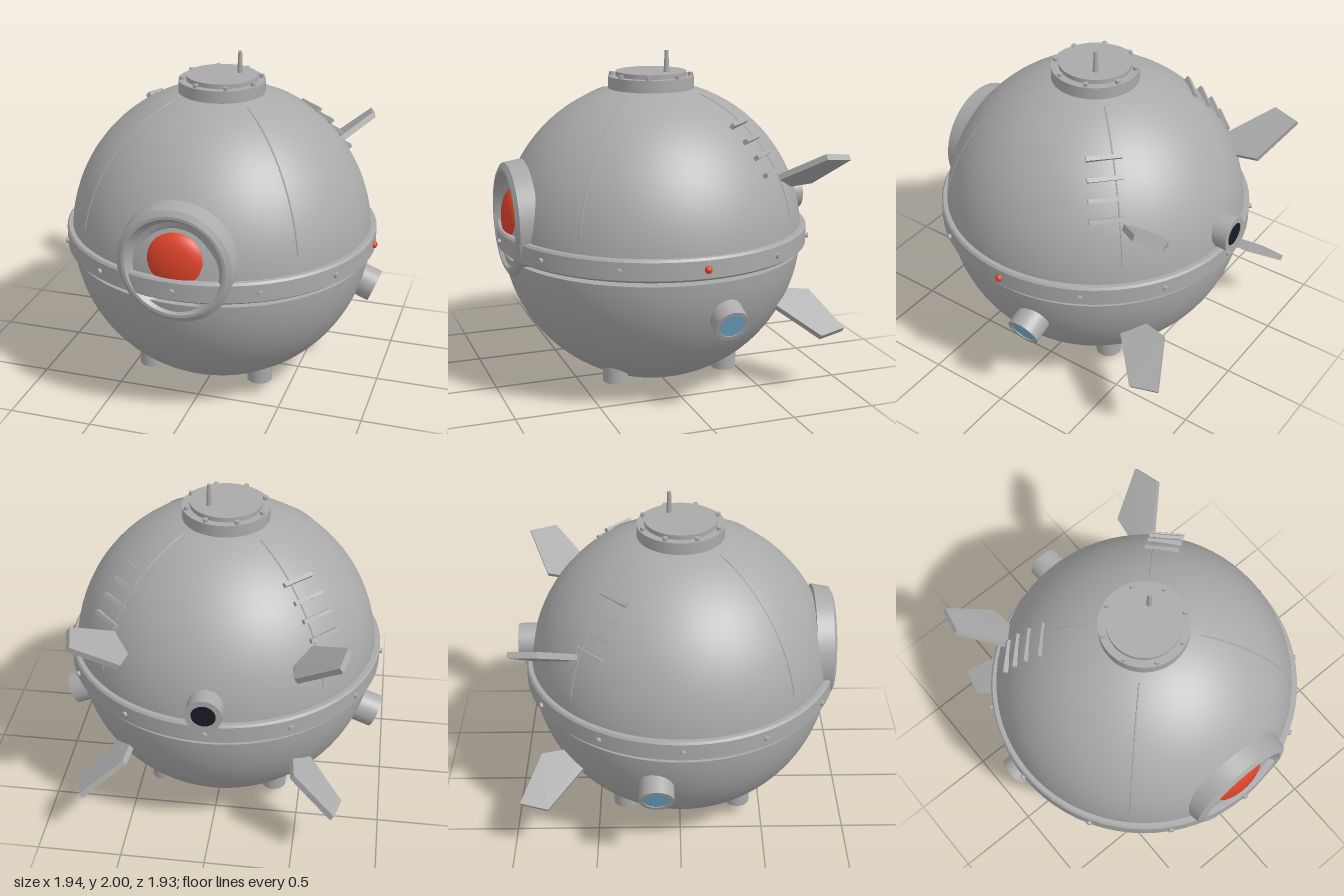
import * as THREE from 'three';
import { toCreasedNormals } from 'three/addons/utils/BufferGeometryUtils.js';
import { ConvexGeometry } from 'three/addons/geometries/ConvexGeometry.js';

const R = 0.905; // hull radius
const mat = (name, color) => Object.assign(new THREE.MeshStandardMaterial({ color }), { name });
const V = (x, y, z) => new THREE.Vector3(x, y, z);
const UP = V(0, 1, 0);

export function createModel() {
  const metal = mat('hull grey', 0xaaaaaa);
  const red = mat('signal red', 0xe0442a);
  const blue = mat('porthole blue', 0x78b0d0);
  const dark = mat('dark glass', 0x1a1a26);

  const root = new THREE.Group();
  root.name = 'submersible';
  const body = new THREE.Group();
  body.name = 'body';
  body.position.set(0, R, 0.01);
  root.add(body);

  const add = (name, geo, material = metal, parent = body) => {
    const m = new THREE.Mesh(geo, material);
    m.name = name;
    parent.add(m);
    return m;
  };
  // Turned part: profile runs counter-clockwise as [radius, height]
  const turned = (pts, seg = 48) =>
    toCreasedNormals(new THREE.LatheGeometry(pts.map(p => new THREE.Vector2(...p)), seg), 0.45);
  // Points along the hull outline between two heights
  const hullArc = (y0, y1) => {
    const a0 = Math.asin(y0 / R), a1 = Math.asin(y1 / R), pts = [];
    for (let i = 0; i <= 24; i++) {
      const a = a0 + (a1 - a0) * i / 24;
      pts.push([Math.max(0, R * Math.cos(a)), R * Math.sin(a)]);
    }
    return pts;
  };

  // Two hull halves with a narrow gap below the belt
  add('upperHull', turned([[0, -0.06], ...hullArc(-0.06, R)], 72));
  add('lowerHull', turned([...hullArc(-R, -0.09), [0, -0.09]], 72));

  // Belt with rivets, one of them a red lamp
  add('belt', turned([[0.89, -0.062], [0.915, -0.062], [0.937, -0.046], [0.937, 0.057],
    [0.927, 0.07], [0.89, 0.07]], 72));
  for (let i = 0; i < 12; i++) {
    const a = i * Math.PI / 6, dir = V(Math.cos(a), 0, Math.sin(a));
    const lamp = i === 0;
    const m = lamp
      ? add('beltLamp', new THREE.SphereGeometry(0.022, 16, 12), red)
      : add('beltRivet', new THREE.CylinderGeometry(0.015, 0.018, 0.03, 12));
    m.position.copy(dir).multiplyScalar(0.938).setY(0.005);
    m.quaternion.setFromUnitVectors(UP, dir);
  }

  // Hatch, its rivets and the antenna
  add('hatchBase', turned([[0, 0.84], [0.255, 0.84], [0.255, 0.94], [0, 0.94]]));
  add('hatchLid', turned([[0, 0.93], [0.21, 0.93], [0.21, 0.967], [0, 0.967]]));
  for (let i = 0; i < 8; i++) {
    const a = (i + 0.5) * Math.PI / 4;
    add('hatchRivet', new THREE.CylinderGeometry(0.015, 0.015, 0.03, 12))
      .position.set(0.234 * Math.cos(a), 0.945, 0.234 * Math.sin(a));
  }
  add('antenna', new THREE.CylinderGeometry(0.011, 0.018, 0.15, 16)).position.set(0.09, 1.02, -0.065);

  // Front eye: bevelled ring, inner rim and red lens
  const eye = new THREE.Group();
  eye.name = 'eye';
  eye.position.set(0, 0.135, 0);
  body.add(eye);
  add('eyeRing', turned([[0.2, 0.79], [0.35, 0.79], [0.333, 0.893], [0.302, 0.911], [0.285, 0.911],
    [0.25, 0.86], [0.215, 0.85], [0.2, 0.83], [0.2, 0.79]], 64).rotateX(Math.PI / 2), metal, eye);
  const lens = add('eyeLens', new THREE.SphereGeometry(0.185, 40, 24).rotateX(Math.PI / 2), red, eye);
  lens.scale.z = 0.46;
  lens.position.z = 0.835;

  // Short tubes with recessed glass; end is the centre of the open face
  const port = (name, r, len, glassR, glass, end, dir) => {
    const g = new THREE.Group();
    g.name = name;
    g.position.copy(end);
    g.quaternion.setFromUnitVectors(UP, dir.normalize());
    body.add(g);
    add(name + 'Tube', turned([[0, -len], [r, -len], [r, 0], [glassR, 0], [glassR, -0.012], [0, -0.012]], 36), metal, g);
    add(name + 'Glass', new THREE.CylinderGeometry(glassR, glassR, 0.006, 36), glass, g).position.y = -0.008;
  };
  for (const s of [-1, 1]) {
    port('sidePort', 0.1, 0.25, 0.075, blue, V(s * 0.932, -0.34, -0.15), V(s * 0.925, -0.38, 0));
    for (const t of [-1, 1])
      port('bottomPort', 0.075, 0.2, 0.056, blue, V(s * 0.344, -0.81, t * 0.344), V(0, -1, 0));
  }
  port('rearPort', 0.104, 0.2, 0.07, dark, V(0, 0.158, -0.973), V(0, 0, -1));

  // Four swept fins, mirrored left/right and up/down
  const outline = [[0.565, 0.395, -0.585], [0.765, 0.54, -0.785], [0.73, 0.52, -0.95],
    [0.486, 0.34, -0.83], [0.486, 0.342, -0.63], [0.45, 0.31, -0.55]];
  const n = V(-0.6, 0.8, 0.02).normalize().multiplyScalar(0.018);
  for (const sx of [-1, 1]) for (const sy of [-1, 1]) {
    const pts = [];
    for (const p of outline) for (const k of [-1, 1])
      pts.push(V(...p).addScaledVector(n, k).multiply(V(sx, sy, 1)));
    add(sy > 0 ? 'upperFin' : 'lowerFin', new ConvexGeometry(pts));
  }

  // Raised seams on the upper hull
  for (let i = 0; i < 4; i++) {
    const az = Math.PI / 4 + i * Math.PI / 2, pts = [];
    for (let j = 0; j <= 16; j++) {
      const el = 0.185 + (1.22 - 0.185) * j / 16;
      pts.push(V(Math.cos(el) * Math.cos(az), Math.sin(el), Math.cos(el) * Math.sin(az)).multiplyScalar(R));
    }
    add('seam', new THREE.TubeGeometry(new THREE.CatmullRomCurve3(pts), 40, 0.005, 6));
  }

  // Ladder rungs on both rear quarters
  for (const s of [-1, 1]) for (const y of [0.695, 0.615, 0.53, 0.435]) {
    const h = Math.sqrt(R * R - y * y), az = 0.697;
    const along = V(s, 0, 1).normalize();
    const out = V(s * h * Math.SQRT1_2, y, -h * Math.SQRT1_2).normalize();
    const rung = add('ladderRung', new THREE.BoxGeometry(0.2, 0.024, 0.03));
    rung.position.set(s * h * Math.cos(az), y, -h * Math.sin(az)).multiplyScalar(1.008);
    rung.quaternion.setFromRotationMatrix(
      new THREE.Matrix4().makeBasis(along, out.clone().cross(along), out));
  }
  return root;
}
